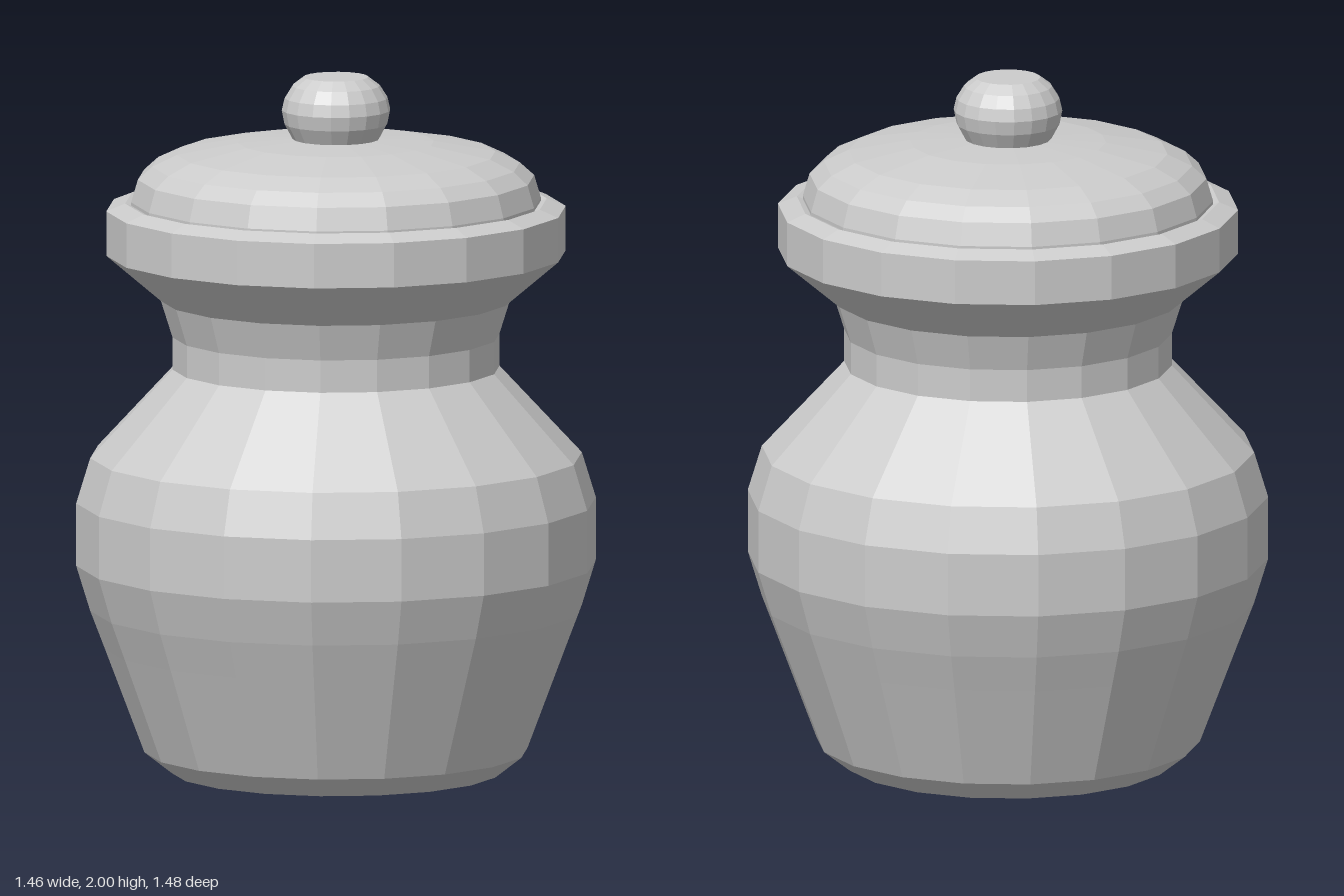
import * as THREE from 'three';

const SIDES = 18;

// Faceted solid turned around the y axis from [radius, height] pairs, bottom to top
function turned(name, profile) {
  const points = profile.map(([r, y]) => new THREE.Vector2(r, y));
  const material = new THREE.MeshStandardMaterial({ color: 0xcccccc, flatShading: true });
  const mesh = new THREE.Mesh(new THREE.LatheGeometry(points, SIDES), material);
  mesh.name = name;
  return mesh;
}

export function createModel() {
  const group = new THREE.Group();
  group.name = 'liddedJar';

  // Jar: foot, belly, neck and flared rim, closed under the lid
  group.add(turned('jar', [
    [0, 0], [0.47, 0], [0.547, 0.06], [0.66, 0.36], [0.702, 0.47],
    [0.742, 0.6], [0.742, 0.78], [0.702, 0.91],
    [0.467, 1.162], [0.467, 1.255], [0.5, 1.36],
    [0.656, 1.492], [0.656, 1.62], [0.602, 1.642], [0.57, 1.63], [0, 1.63],
  ]));

  // Domed lid
  group.add(turned('lid', [
    [0, 1.632], [0.585, 1.632], [0.585, 1.645], [0.566, 1.71],
    [0.525, 1.747], [0.455, 1.78], [0.28, 1.812], [0.12, 1.822], [0, 1.822],
  ]));

  // Round knob with a flat top
  group.add(turned('knob', [
    [0, 1.81], [0.12, 1.815], [0.147, 1.865], [0.155, 1.905],
    [0.147, 1.94], [0.125, 1.975], [0.092, 2], [0, 2],
  ]));

  return group;
}
